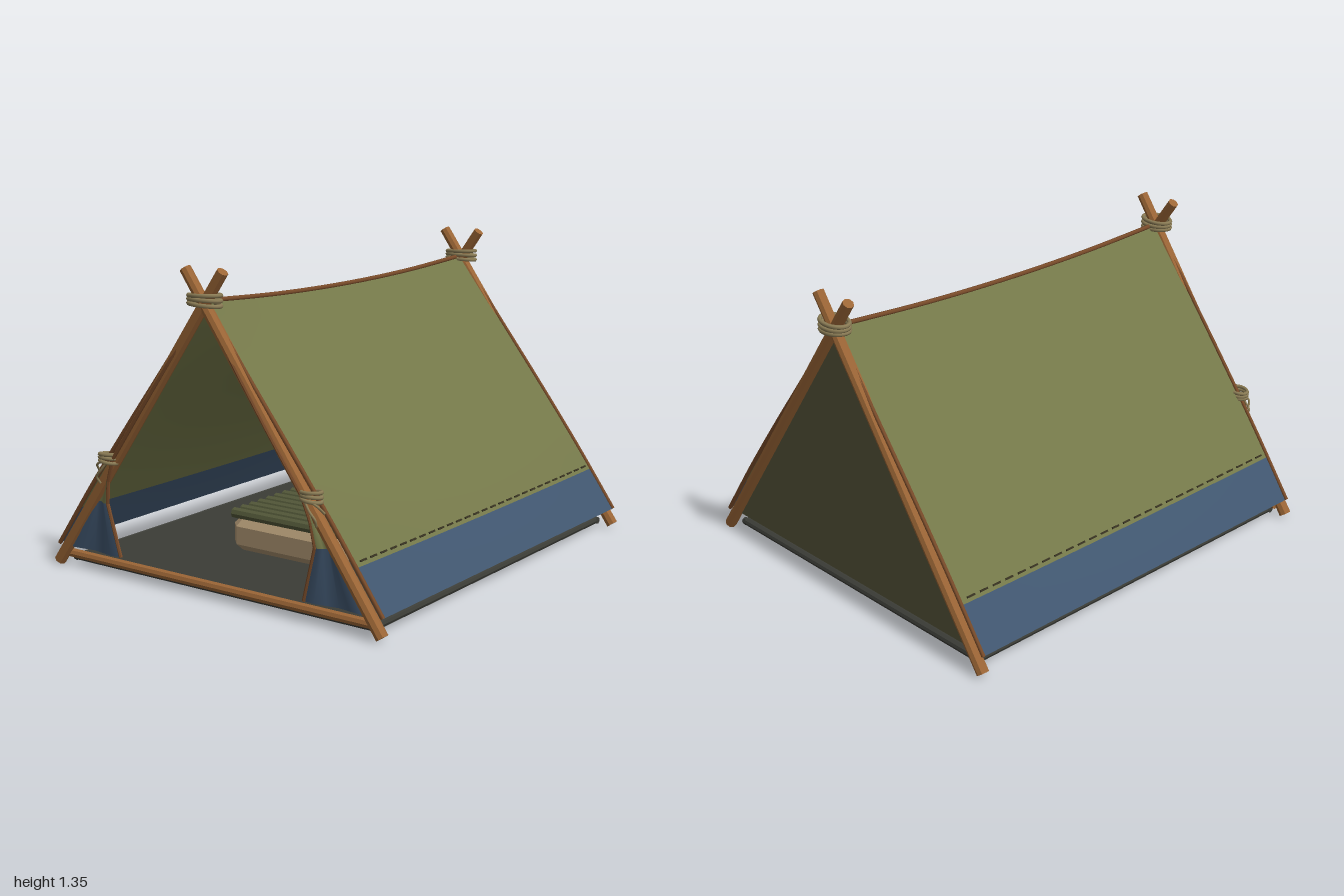
import * as THREE from 'three';

const mat = (name, color, side = THREE.FrontSide) => {
  const m = new THREE.MeshStandardMaterial({ color, side });
  m.name = name;
  return m;
};

export function createModel() {
  const root = new THREE.Group();
  root.name = 'tent';
  const wood = mat('wood', 0x9c6636);
  const piping = mat('brown piping', 0x7a4c2a);
  const olive = mat('olive canvas', 0x747849, THREE.DoubleSide);
  const backCloth = mat('dark olive canvas', 0x5a583c, THREE.DoubleSide);
  const blue = mat('blue canvas', 0x40566f, THREE.DoubleSide);
  const ropeMat = mat('rope', 0x8c7d56);
  const floorMat = mat('ground sheet', 0x3b3c36);
  const tan = mat('tan mattress', 0xa9916f);
  const quilt = mat('green quilt', 0x525738);
  const thread = mat('dark thread', 0x35301f);
  const V = (x, y, z) => new THREE.Vector3(x, y, z);

  const add = (name, geo, material, parent = root) => {
    const m = new THREE.Mesh(geo, material);
    m.name = name;
    parent.add(m);
    return m;
  };

  // Straight faceted rod between two points
  const rod = (name, a, b, r0, r1, material, sides = 8) => {
    const d = b.clone().sub(a);
    const g = new THREE.CylinderGeometry(r1, r0, d.length(), sides).toNonIndexed();
    g.computeVertexNormals();
    const m = add(name, g, material);
    m.position.copy(a).add(b).multiplyScalar(0.5);
    m.quaternion.setFromUnitVectors(V(0, 1, 0), d.normalize());
    return m;
  };

  const cord = (name, pts, r, material, closed = false, n = 24) =>
    add(name, new THREE.TubeGeometry(new THREE.CatmullRomCurve3(pts, closed), n, r, 6, closed), material);

  // Surface swept over a grid: f(i/nu, j/nv) -> point
  const sheet = (name, f, nu, nv, material) => {
    const pos = [], idx = [];
    for (let i = 0; i <= nu; i++) for (let j = 0; j <= nv; j++) pos.push(...f(i / nu, j / nv).toArray());
    for (let i = 0; i < nu; i++) for (let j = 0; j < nv; j++) {
      const a = i * (nv + 1) + j, b = a + nv + 1;
      idx.push(a, b, a + 1, b, b + 1, a + 1);
    }
    const g = new THREE.BufferGeometry();
    g.setAttribute('position', new THREE.Float32BufferAttribute(pos, 3));
    g.setIndex(idx);
    g.computeVertexNormals();
    return add(name, g, material);
  };

  // Roof panel: t runs from ridge to hem, u from back (-1) to front (1)
  const HALF = 0.943, SPLIT = 0.845;
  const roof = (s, t, u, lift = 0) => {
    const ridge = 1.218 - 0.033 * (1 - u * u);
    const x = 0.845 * t + 0.022 * t * Math.sin(Math.PI * t) + lift * 0.8;
    return V(s * x, ridge + (0.095 - ridge) * t + lift * 0.6, u * HALF);
  };

  // Flat wrapped loops of rope
  const lashing = (name, x, y, z, rx, rz, r, step) => {
    for (let k = -1; k <= 1; k++) {
      const pts = [];
      for (let i = 0; i < 12; i++) {
        const a = i / 12 * Math.PI * 2;
        pts.push(V(x + rx * Math.cos(a), y + k * step + 0.004 * Math.sin(a + k), z + rz * Math.sin(a)));
      }
      cord(name, pts, r, ropeMat, true, 32);
    }
  };

  for (const s of [1, -1]) {
    // Roof canvas with a blue hem band
    sheet('roofPanel', (a, b) => roof(s, a * SPLIT, b * 2 - 1), 12, 16, olive);
    sheet('roofHem', (a, b) => roof(s, SPLIT + a * (1 - SPLIT), b * 2 - 1), 3, 16, blue);

    // Stitching above the hem
    for (let i = 0; i < 27; i++) {
      const p = roof(s, SPLIT - 0.014, (i - 13) / 13 * 0.94, 0.004);
      const d = add('stitch', new THREE.BoxGeometry(0.005, 0.008, 0.04), thread);
      d.position.copy(p);
      d.rotation.z = s * 0.6;
    }

    for (const e of [1, -1]) {
      // Crossed poles and bound roof edges
      rod('pole', V(s * 0.843, 0.02, e * 0.945), V(-s * 0.095, 1.338, e * 0.945), 0.026, 0.024, wood);
      cord('roofEdge', [0, 0.25, 0.5, 0.75, 1].map(t => roof(s, t, e)), 0.009, piping);
    }

    // Door flap tied back: rows of [y, outer x, inner x, inner z]
    const rows = [[0.095, 0.80, 0.48, 0.95], [0.32, 0.64, 0.54, 0.957], [0.42, 0.57, 0.525, 0.965],
      [0.52, 0.51, 0.49, 0.972], [0.75, 0.345, 0.325, 0.972], [0.95, 0.2, 0.18, 0.965], [1.19, 0.02, 0.004, 0.95]];
    const flap = list => (a, b) => {
      const [y, xo, xi, zi] = list[Math.round(a * (list.length - 1))];
      return V(s * (xo + (xi - xo) * b), y, 0.945 + (zi - 0.945) * b + 0.008 * Math.sin(b * Math.PI * 3));
    };
    sheet('doorFlapLower', flap(rows.slice(0, 2)), 1, 6, blue);
    sheet('doorFlapUpper', flap(rows.slice(1)), 5, 6, olive);
    for (let i = 1; i < rows.length; i++) {
      const [p, q] = [rows[i - 1], rows[i]];
      rod('doorEdge', V(s * p[2], p[0], p[3]), V(s * q[2], q[0], q[3]), 0.008, 0.008, piping, 6);
    }

    // Tie holding the flap, with loose ends
    lashing('doorTie', s * 0.525, 0.52, 0.957, 0.043, 0.032, 0.008, 0.016);
    cord('tieEnd', [V(s * 0.51, 0.51, 0.985), V(s * 0.54, 0.47, 0.992), V(s * 0.565, 0.44, 0.99),
      V(s * 0.56, 0.41, 0.975)], 0.005, ropeMat);
    cord('tieEnd', [V(s * 0.53, 0.51, 0.985), V(s * 0.57, 0.49, 0.98), V(s * 0.585, 0.46, 0.955)], 0.005, ropeMat);
  }

  // Ridge binding
  cord('ridge', [-1, -0.5, 0, 0.5, 1].map(u => roof(1, 0, u)), 0.01, piping);
  for (const e of [1, -1]) lashing('ridgeLashing', 0, 1.222, e * 0.943, 0.073, 0.048, 0.009, 0.018);

  // Closed back wall
  const tri = new THREE.Shape([new THREE.Vector2(-0.835, 0.095), new THREE.Vector2(0.835, 0.095), new THREE.Vector2(0, 1.205)]);
  add('backWall', new THREE.ShapeGeometry(tri), backCloth).position.z = -0.937;

  // Ground sheet with rolled rim, and door sill
  add('groundSheet', new THREE.BoxGeometry(1.56, 0.026, 1.82), floorMat).position.y = 0.037;
  for (const e of [1, -1]) {
    rod('floorRim', V(-0.79, 0.037, e * 0.905), V(0.79, 0.037, e * 0.905), 0.016, 0.016, floorMat);
    rod('floorRim', V(e * 0.775, 0.037, -0.915), V(e * 0.775, 0.037, 0.915), 0.016, 0.016, floorMat);
  }
  rod('doorSill', V(-0.8, 0.056, 0.925), V(0.8, 0.056, 0.925), 0.02, 0.02, wood);

  // Mattress with cut corners and chamfered edges
  const w = 0.26, l = 0.57, c = 0.03;
  const plan = new THREE.Shape([[w, -l + c], [w, l - c], [w - c, l], [c - w, l], [-w, l - c], [-w, c - l], [c - w, -l], [w - c, -l]]
    .map(p => new THREE.Vector2(...p)));
  const bed = new THREE.ExtrudeGeometry(plan, { depth: 0.08, bevelEnabled: true, bevelThickness: 0.03, bevelSize: 0.03, bevelSegments: 1 });
  bed.rotateX(-Math.PI / 2);
  add('mattress', bed, tan).position.set(0, 0.08, -0.12);

  // Ribbed quilt on top
  add('quiltBase', new THREE.BoxGeometry(0.56, 0.025, 1.14), quilt).position.set(0, 0.2, -0.12);
  for (let i = 0; i < 20; i++) {
    const z = -0.12 + (i - 9.5) * 0.059;
    rod('quiltRib', V(-0.285, 0.207, z), V(0.285, 0.207, z), 0.024, 0.024, quilt);
  }
  return root;
}
